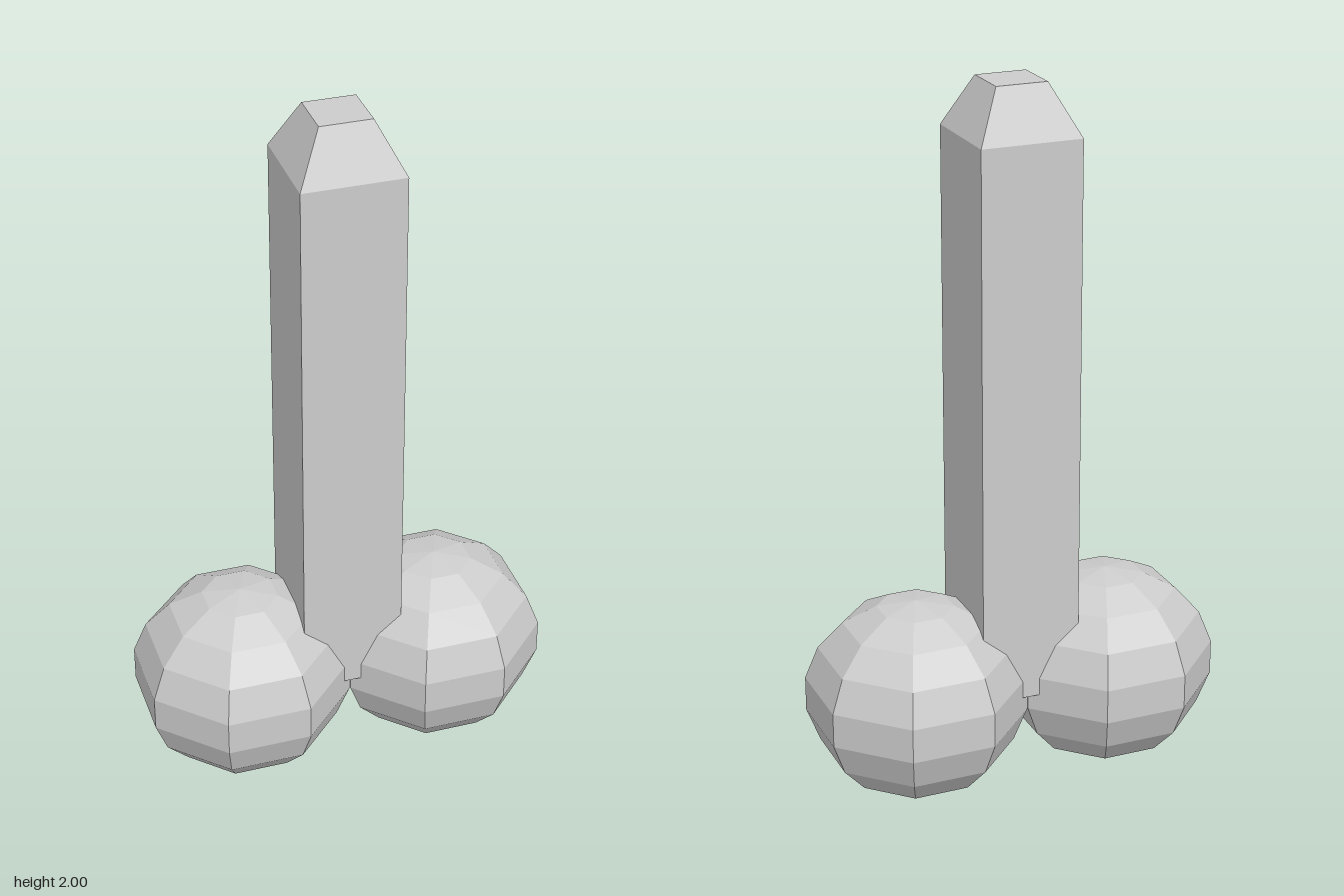
import * as THREE from 'three';

const material = new THREE.MeshStandardMaterial({ color: 0xcccccc, flatShading: true });

// Faceted solid of revolution: profile holds [half width, height] pairs from bottom to top.
function prism(name, profile, sides) {
  const toCorner = 1 / Math.cos(Math.PI / sides);
  const points = profile.map(([w, y]) => new THREE.Vector2(w * toCorner, y));
  const mesh = new THREE.Mesh(new THREE.LatheGeometry(points, sides, Math.PI / sides), material);
  mesh.name = name;
  return mesh;
}

export function createModel() {
  const group = new THREE.Group();
  group.name = 'model';

  // Square column with a chamfered top
  group.add(prism('column', [[0, 0.286], [0.142, 0.286], [0.142, 1.86], [0.072, 2], [0, 2]], 4));

  // Eight-sided base spheres; the lowest ring is left out, giving a pointed underside
  const r = 0.286;
  const profile = [[0, 0]];
  for (let deg = -50; deg <= 70; deg += 20) {
    const a = THREE.MathUtils.degToRad(deg);
    profile.push([r * Math.cos(a) * 1.012, r + r * Math.sin(a)]);
  }
  profile.push([0, 2 * r]);
  for (const side of [-1, 1]) {
    const sphere = prism(side > 0 ? 'leftBaseSphere' : 'rightBaseSphere', profile, 8);
    sphere.position.x = side * r;
    group.add(sphere);
  }
  return group;
}
